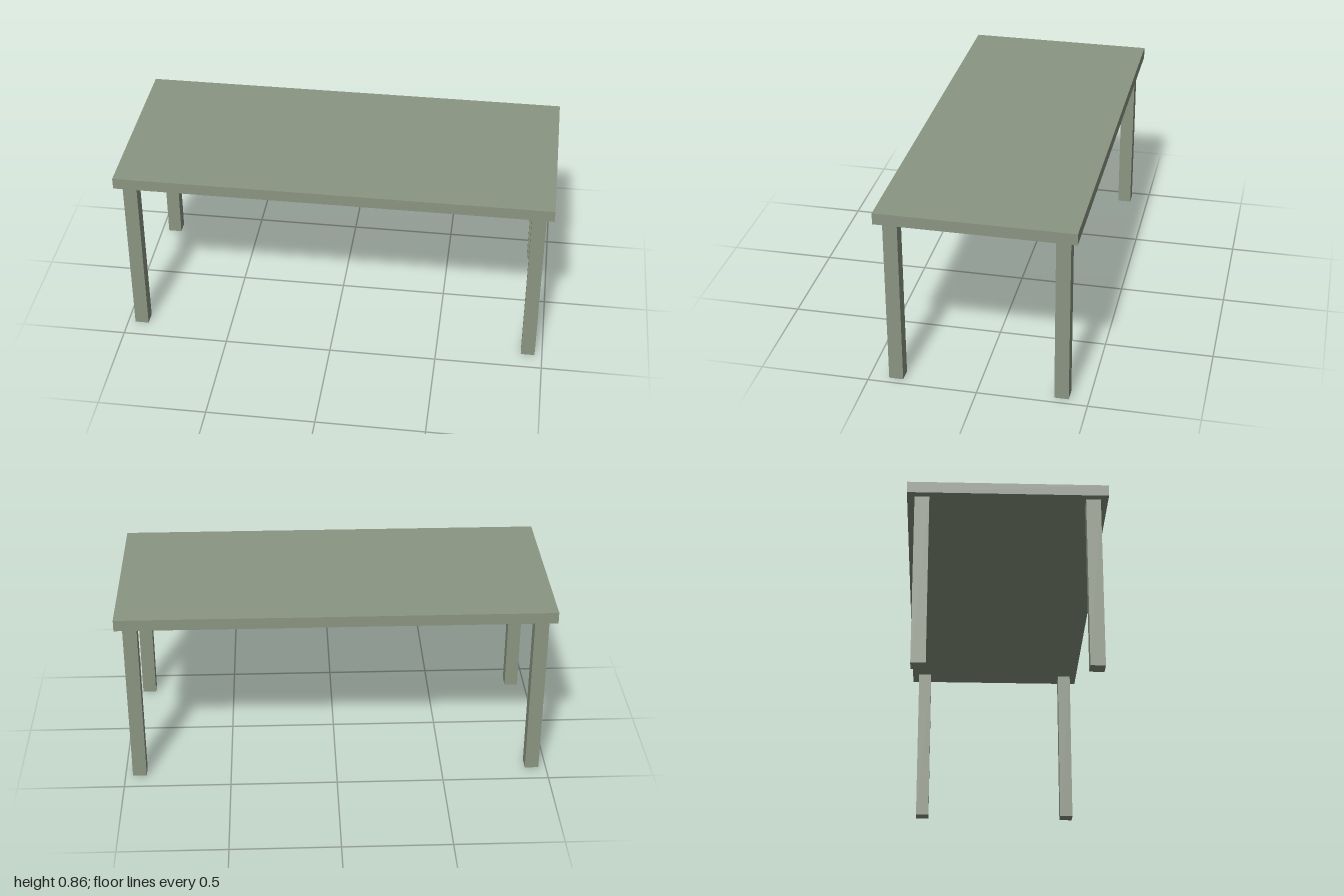
import * as THREE from 'three';

export function createModel() {
  const table = new THREE.Group();
  table.name = 'table';

  const paint = new THREE.MeshStandardMaterial({ color: 0x8b9582 });
  paint.name = 'sage green';

  const height = 0.86, topThickness = 0.053, legSize = 0.065;
  const legHeight = height - topThickness;

  // Flat slab top
  const top = new THREE.Mesh(new THREE.BoxGeometry(2, topThickness, 0.887), paint);
  top.name = 'tableTop';
  top.position.y = height - topThickness / 2;
  table.add(top);

  // Four square legs, set in slightly from the corners
  const legGeometry = new THREE.BoxGeometry(legSize, legHeight, legSize);
  for (const [side, x] of [['Left', 0.933], ['Right', -0.933]]) {
    for (const [end, z] of [['front', 0.378], ['back', -0.378]]) {
      const leg = new THREE.Mesh(legGeometry, paint);
      leg.name = `${end}${side}Leg`;
      leg.position.set(x, legHeight / 2, z);
      table.add(leg);
    }
  }

  return table;
}
